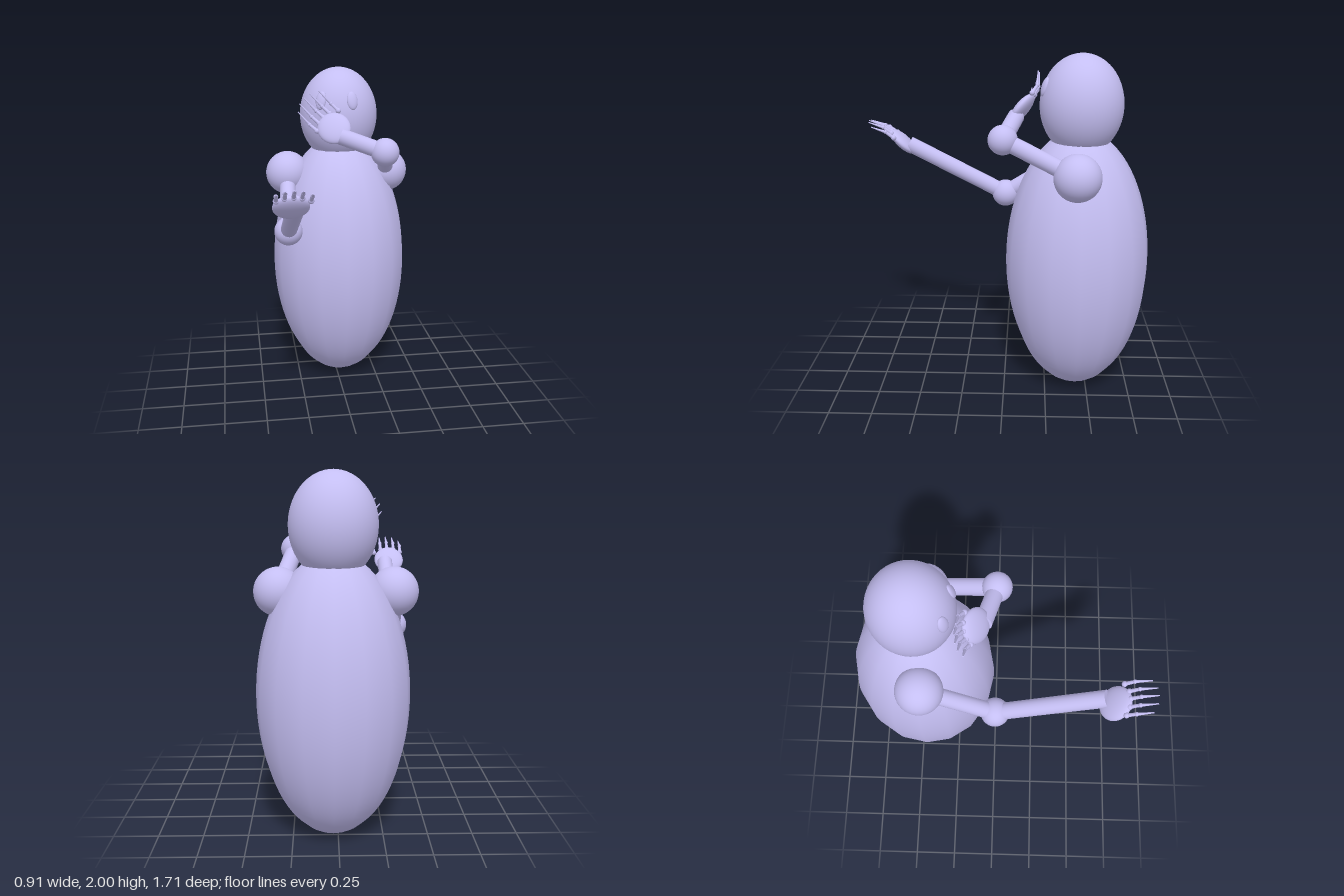
import * as THREE from 'three';

const material = new THREE.MeshStandardMaterial({ color: 0xc4bef2 });
const V = (x, y, z) => new THREE.Vector3(x, y, z);

// Ellipsoid with separate radii
function ball(name, pos, rx, ry = rx, rz = rx, sides = 32, rings = 24) {
  const mesh = new THREE.Mesh(new THREE.SphereGeometry(1, sides, rings), material);
  mesh.name = name;
  mesh.position.copy(pos);
  mesh.scale.set(rx, ry, rz);
  return mesh;
}

// Cylinder or cone running from a to b
function limb(name, a, b, ra, rb = ra, sides = 24) {
  const dir = b.clone().sub(a);
  const mesh = new THREE.Mesh(new THREE.CylinderGeometry(rb, ra, dir.length(), sides), material);
  mesh.name = name;
  mesh.position.copy(a).add(b).multiplyScalar(0.5);
  mesh.quaternion.setFromUnitVectors(V(0, 1, 0), dir.normalize());
  return mesh;
}

// Hand: local x runs across the palm, y towards the fingers, z through the palm
function hand(name, center, across, forward, bend) {
  const group = new THREE.Group();
  group.name = name;
  group.add(ball('palm', V(0, 0, 0), 0.095, 0.103, 0.036));
  // [sideways offset, knuckle reach, tip reach]
  const fingers = [
    [-0.077, 0.066, 0.205], [-0.035, 0.088, 0.235], [0.008, 0.095, 0.242],
    [0.05, 0.088, 0.235], [0.096, 0.06, 0.205],
  ];
  for (const [x, base, tip] of fingers) {
    const finger = new THREE.Group();
    finger.name = 'finger';
    const knuckle = V(x, base, 0);
    const joint = V(x * 1.03, base + (tip - base) * 0.42, 0.007 * bend);
    const end = V(x, tip, 0.046 * bend);
    finger.add(
      ball('knuckle', knuckle, 0.016, 0.016, 0.016, 14, 10),
      limb('fingerBone', knuckle, joint, 0.011, 0.009, 12),
      ball('fingerJoint', joint, 0.012, 0.012, 0.012, 14, 10),
      limb('fingerTip', joint, end, 0.009, 0.003, 12),
    );
    group.add(finger);
  }
  const y = forward.clone().normalize();
  const z = across.clone().cross(y).normalize();
  const x = y.clone().cross(z);
  group.quaternion.setFromRotationMatrix(new THREE.Matrix4().makeBasis(x, y, z));
  group.position.copy(center);
  return group;
}

// Arm with ball joints at the shoulder and elbow
function arm(name, shoulder, elbow, wrist, handGroup) {
  const group = new THREE.Group();
  group.name = name;
  group.add(
    ball('shoulder', shoulder, 0.133),
    limb('upperArm', shoulder, elbow, 0.048),
    ball('elbow', elbow, 0.083),
    limb('forearm', elbow, wrist, 0.048),
    handGroup,
  );
  return group;
}

export function createModel() {
  const model = new THREE.Group();
  model.name = 'figure';

  // Body and head
  model.add(ball('body', V(0.026, 0.787, -0.431), 0.421, 0.785, 0.421, 16, 40));
  const headPos = V(0.025, 1.712, -0.436);
  model.add(ball('head', headPos, 0.238, 0.288, 0.238, 40, 32));

  // Eyes lie flat on the head, which is turned slightly to its right
  const eyes = [['rightEye', V(-0.102, 1.82, -0.258)], ['leftEye', V(0.08, 1.82, -0.226)]];
  for (const [name, pos] of eyes) {
    const eye = ball(name, pos, 0.034, 0.055, 0.018, 20, 16);
    eye.rotation.set(-0.3, Math.atan2(pos.x - headPos.x, pos.z - headPos.z), 0, 'YXZ');
    model.add(eye);
  }

  // Right arm reaches forward
  model.add(arm('rightArm', V(-0.3, 1.36, -0.407), V(-0.331, 1.1, 0.005), V(-0.331, 1.409, 0.604),
    hand('rightHand', V(-0.36, 1.417, 0.645), V(1, 0, 0), V(0, 0.69, 0.73), 1)));

  // Left arm folds back with its hand in front of the face
  model.add(arm('leftArm', V(0.32, 1.36, -0.407), V(0.238, 1.551, 0.003), V(-0.012, 1.638, -0.065),
    hand('leftHand', V(-0.045, 1.68, -0.1), V(0.72, 0.66, -0.21), V(-0.62, 0.5, -0.6), 1.5)));

  return model;
}
